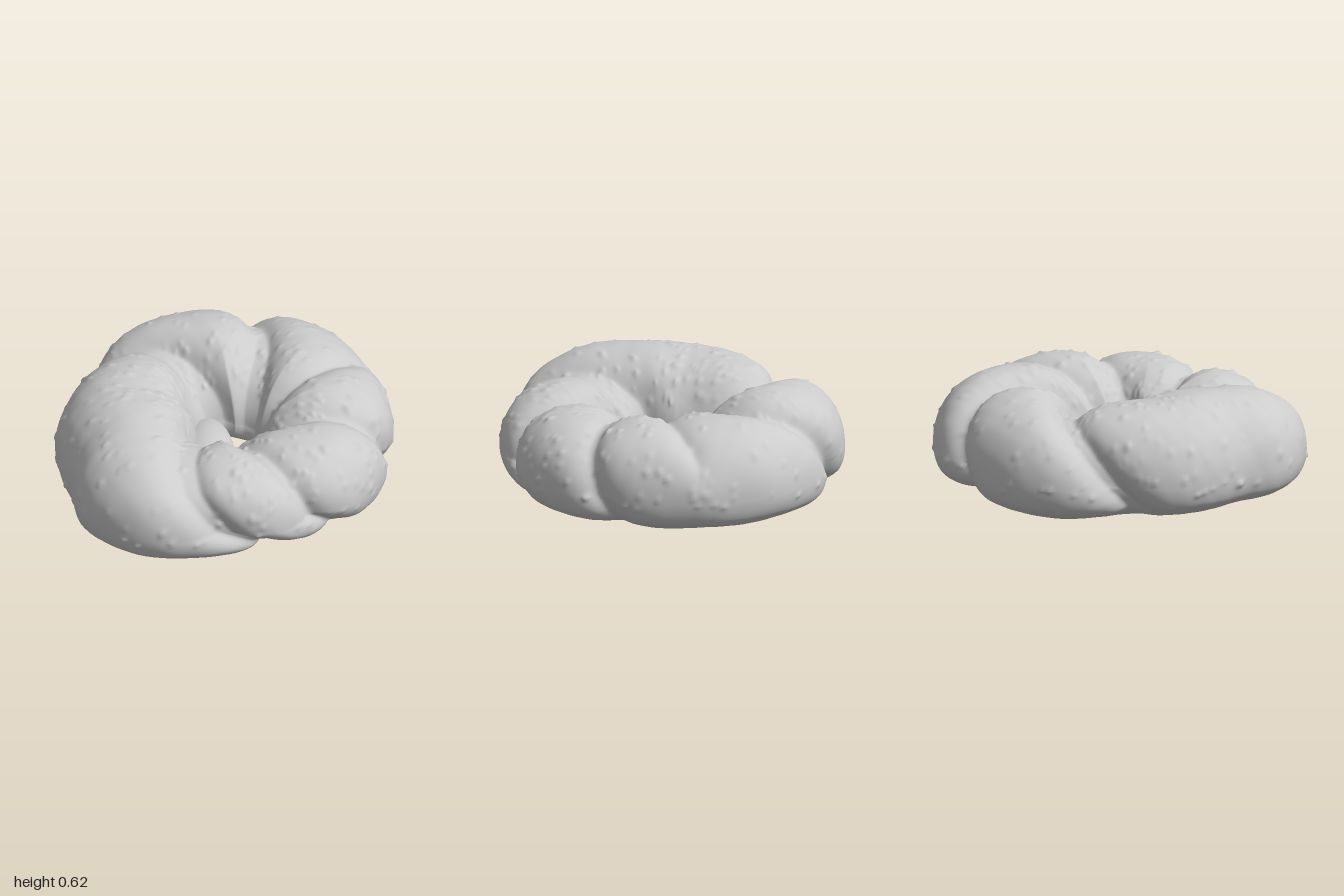
import * as THREE from 'three';

const RAD = Math.PI / 180;
const wrap = (d) => ((d % 360) + 540) % 360 - 180;
const { smoothstep } = THREE.MathUtils;

// Smooth closed curve through [degree, value] keys (first key at 0)
function around(keys, deg) {
  const n = keys.length, d = ((deg % 360) + 360) % 360;
  const key = (i) => {
    const turn = Math.floor(i / n), [a, v] = keys[i - turn * n];
    return [a + 360 * turn, v];
  };
  let i = n - 1;
  while (keys[i][0] > d) i--;
  const [[a0, v0], [a1, v1], [a2, v2], [a3, v3]] = [key(i - 1), key(i), key(i + 1), key(i + 2)];
  const h = a2 - a1, t = (d - a1) / h;
  const m1 = (v2 - v0) / (a2 - a0) * h, m2 = (v3 - v1) / (a3 - a1) * h;
  const t2 = t * t, t3 = t2 * t;
  return v1 * (2 * t3 - 3 * t2 + 1) + m1 * (t3 - 2 * t2 + t) + v2 * (3 * t2 - 2 * t3) + m2 * (t3 - t2);
}

// Ring envelope by heading (0 = +x, 90 = front)
const OUTER = [[0, 1.0], [15, 0.97], [40, 0.93], [60, 0.91], [85, 0.905], [110, 0.865], [132, 0.875],
  [150, 0.9], [165, 0.97], [180, 1.0], [195, 0.98], [209, 0.9], [235, 0.89], [260, 0.86],
  [283, 0.945], [300, 0.975], [320, 0.98], [348, 1.0]];
const INNER = [[0, 0.18], [45, 0.19], [90, 0.19], [135, 0.15], [180, 0.13], [225, 0.12], [270, 0.16], [315, 0.19]];
const TOP = [[0, 0.59], [45, 0.58], [90, 0.54], [140, 0.55], [180, 0.6], [208, 0.615], [245, 0.6], [285, 0.595], [320, 0.605]];
const BASE = [[0, 0.02], [90, 0.025], [180, 0.02], [270, 0.005]];
const MID = 0.22;

// Twist creases: heading at tube angles -45, 0, 45, 90, 135 and 180 (outside, over the top, inside)
const CREASES = [
  { at: [-108, -99, -86, -72, -61, -45], depth: 0.28, floor: 0.035 },
  { at: [-42, -37, -27, -15, -6, 6], depth: 0.24, floor: 0.03 },
  { at: [17, 20, 24, 30, 36, 48], depth: 0.16, floor: 0, fadeOutside: true },
  { at: [53, 59, 65, 69, 76, 90], depth: 0.2, floor: 0.01 },
  { at: [95, 108, 114, 119, 130, 155], depth: 0.24, floor: 0.01 },
  { at: [125, 143, 156, 164, 170, 183], depth: 0.23, floor: 0.04 },
];

function creaseHeading(at, phi) {
  const t = Math.min(Math.max((phi + 45) / 45, 0), 4.999);
  const i = Math.floor(t);
  return at[i] + (at[i + 1] - at[i]) * (t - i);
}

// phi runs from -90 (bottom) over the outside and top to 270
function creaseDepth(deg, phi, r) {
  const fade = smoothstep(phi, -85, -30) * (1 - smoothstep(phi, 120, 230));
  let depth = 0;
  for (const c of CREASES) {
    const arc = Math.abs(wrap(deg - creaseHeading(c.at, phi))) * RAD * r;
    const outside = c.fadeOutside ? smoothstep(phi, 5, 60) : 1;
    const away = Math.hypot(Math.max(arc - c.floor, 0), 0.015) - 0.015;
    depth = Math.max(depth, c.depth * outside * Math.exp(-away / 0.075));
  }
  return depth * fade;
}

// Underside: tucked up towards the hole, with a step where the back lobes overlap the front ones
function underLift(deg, r) {
  const tuck = (0.03 + 0.03 * Math.sin(deg * RAD)) * (1 - smoothstep(r, 0.35, 0.7));
  const step = [[128, -1], [-38, 1]].map(([at, side]) => {
    const arc = wrap(deg - at) * side * RAD * r;
    return 0.045 * Math.exp(-Math.abs(arc) / (arc > 0 ? 0.16 : 0.02));
  });
  return tuck + Math.max(...step);
}

// Tube section with a rounded top, a flattened base and the creases pressed in
function surface(deg, phi) {
  const ro = around(OUTER, deg), ri = around(INNER, deg);
  const top = around(TOP, deg), base = around(BASE, deg);
  const rc = (ro + ri) / 2, half = (ro - ri) / 2;
  const c = Math.cos(phi * RAD), s = Math.sin(phi * RAD);
  const n = s > 0 ? 2.15 : 2.15 + 0.65 * Math.min(1, -s * 2);
  const k = Math.pow(Math.abs(c) ** n + Math.abs(s) ** n, -1 / n);
  const scale = k * (1 - creaseDepth(deg, phi, Math.max(rc + half * c, 0.2)));
  const r = rc + half * c * scale;
  let y = MID + (s > 0 ? top - MID : MID - base) * s * scale;
  if (s < 0) y -= s * underLift(deg, r);
  return new THREE.Vector3(r * Math.cos(deg * RAD), y, r * Math.sin(deg * RAD));
}

function makeRandom(seed) {
  return () => {
    seed = (seed * 16807) % 2147483647;
    return seed / 2147483647;
  };
}

// Small crust blisters scattered over the upper faces
function makeBlisters(count) {
  const rnd = makeRandom(4711);
  return Array.from({ length: count }, () => ({
    p: surface(rnd() * 360, -15 + rnd() * 165),
    size: 0.011 + rnd() * 0.009,
    height: 0.004 + rnd() * 0.008,
  }));
}

function ripple(p) {
  return 0.004 * Math.sin(13 * p.x + 5 * p.y + 2) * Math.sin(11 * p.z - 7 * p.y)
    + 0.001 * Math.sin(37 * p.x - 11 * p.z) * Math.sin(31 * p.z + 23 * p.y + 1);
}

function twistedRingGeometry(na, np) {
  const blisters = makeBlisters(420);
  const pos = [], index = [];
  for (let i = 0; i < na; i++) {
    const deg = (i / na) * 360;
    for (let j = 0; j < np; j++) {
      const phi = -90 + (j / np) * 360;
      const p = surface(deg, phi);
      let lift = ripple(p);
      for (const b of blisters) {
        const d = p.distanceToSquared(b.p) / (b.size * b.size);
        if (d < 6) lift += b.height * Math.exp(-d);
      }
      const out = new THREE.Vector3(Math.cos(deg * RAD) * Math.cos(phi * RAD),
        Math.sin(phi * RAD), Math.sin(deg * RAD) * Math.cos(phi * RAD));
      p.addScaledVector(out, lift);
      pos.push(p.x, p.y, p.z);
      const i2 = (i + 1) % na, j2 = (j + 1) % np;
      const a = i * np + j, b = i * np + j2, c = i2 * np + j, d = i2 * np + j2;
      index.push(a, b, c, b, d, c);
    }
  }
  const g = new THREE.BufferGeometry();
  g.setAttribute('position', new THREE.Float32BufferAttribute(pos, 3));
  g.setIndex(index);
  g.computeVertexNormals();
  return g;
}

export function createModel() {
  const group = new THREE.Group();
  group.name = 'twistedBreadRing';
  const crust = new THREE.MeshStandardMaterial({ color: 0xcccccc });

  const ring = new THREE.Mesh(twistedRingGeometry(420, 132), crust);
  ring.name = 'twistedDough';
  group.add(ring);

  // Fold of dough reaching into the hole low down
  const fold = new THREE.Mesh(new THREE.SphereGeometry(1, 40, 24), crust);
  fold.name = 'innerFold';
  fold.scale.set(0.3, 0.12, 0.15);
  fold.position.set(-0.05, 0.16, -0.07);
  fold.rotation.y = 0.65;
  group.add(fold);

  // Stand on the ground, centred
  const box = new THREE.Box3().setFromObject(ring);
  const mid = box.getCenter(new THREE.Vector3());
  for (const m of [ring, fold]) m.position.sub(new THREE.Vector3(mid.x, box.min.y, mid.z));
  return group;
}
